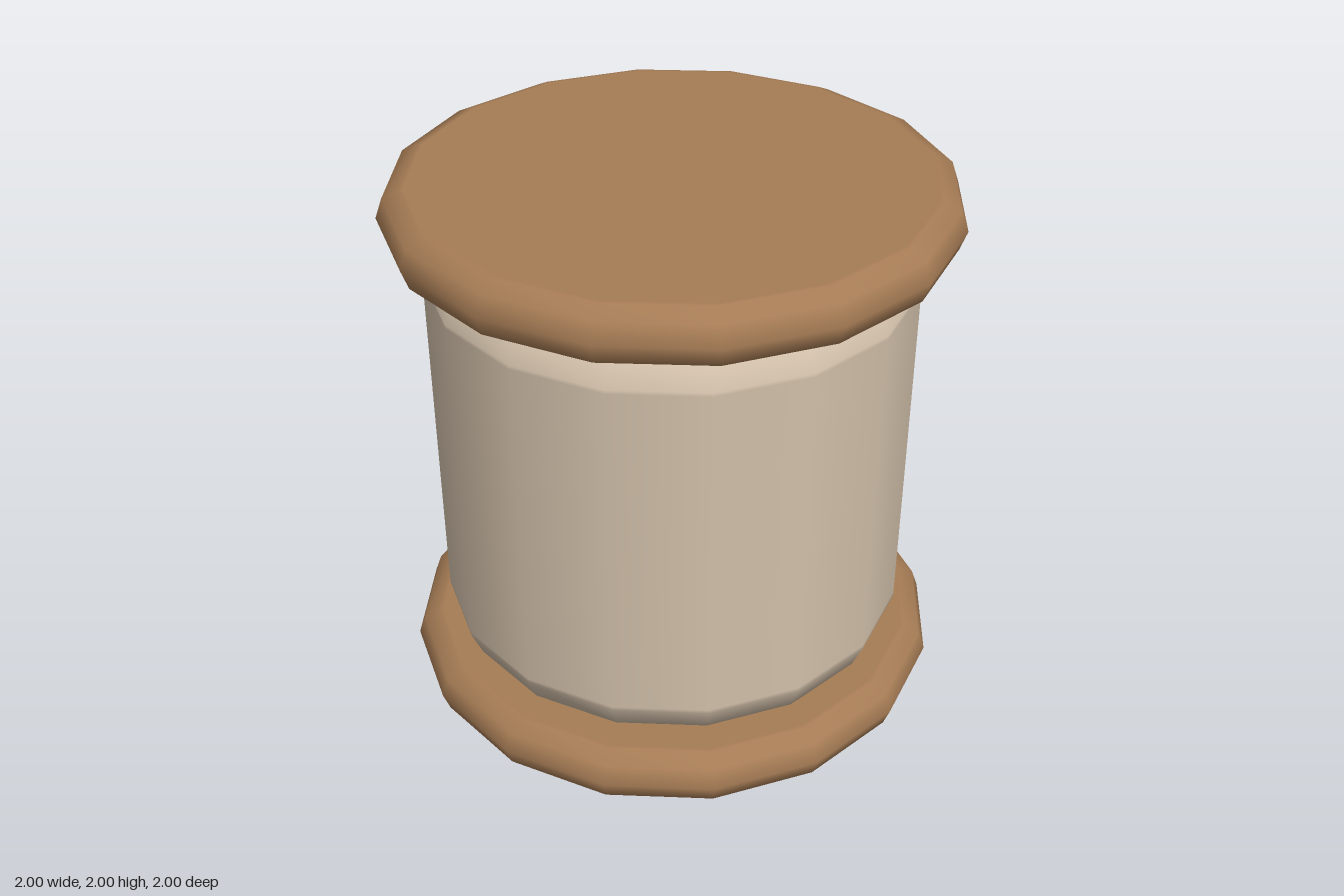
import * as THREE from 'three';

const SIDES = 16;

// Smooth turned solid from [radius, height] pairs, listed bottom to top
function turned(name, profile, material) {
  const points = profile.map(([r, y]) => new THREE.Vector2(r, y));
  const mesh = new THREE.Mesh(new THREE.LatheGeometry(points, SIDES), material);
  mesh.name = name;
  return mesh;
}

// Adds the upper half of a profile by mirroring it about a height
function mirrored(lower, middle) {
  const upper = lower.filter(([, y]) => y < middle).map(([r, y]) => [r, 2 * middle - y]).reverse();
  return [...lower, ...upper];
}

export function createModel() {
  const wood = new THREE.MeshStandardMaterial({ color: 0xa67c55 });
  wood.name = 'brown wood';
  const thread = new THREE.MeshStandardMaterial({ color: 0xd1bfa9 });
  thread.name = 'cream thread';

  const spool = new THREE.Group();
  spool.name = 'spool';

  // Rounded end discs; the extra inner ring keeps their faces flat
  const disc = mirrored([[0, 0], [0.9, 0], [0.915, 0.001], [0.975, 0.03], [1, 0.1]], 0.1);
  const bottomDisc = turned('bottomDisc', disc, wood);
  const topDisc = turned('topDisc', disc, wood);
  topDisc.position.y = 1.8;

  // Thread winding with softened ends
  const winding = mirrored([[0, 0.2], [0.73, 0.2], [0.825, 0.24], [0.865, 0.335], [0.865, 0.35]], 1);

  spool.add(bottomDisc, topDisc, turned('threadWinding', winding, thread));
  return spool;
}
